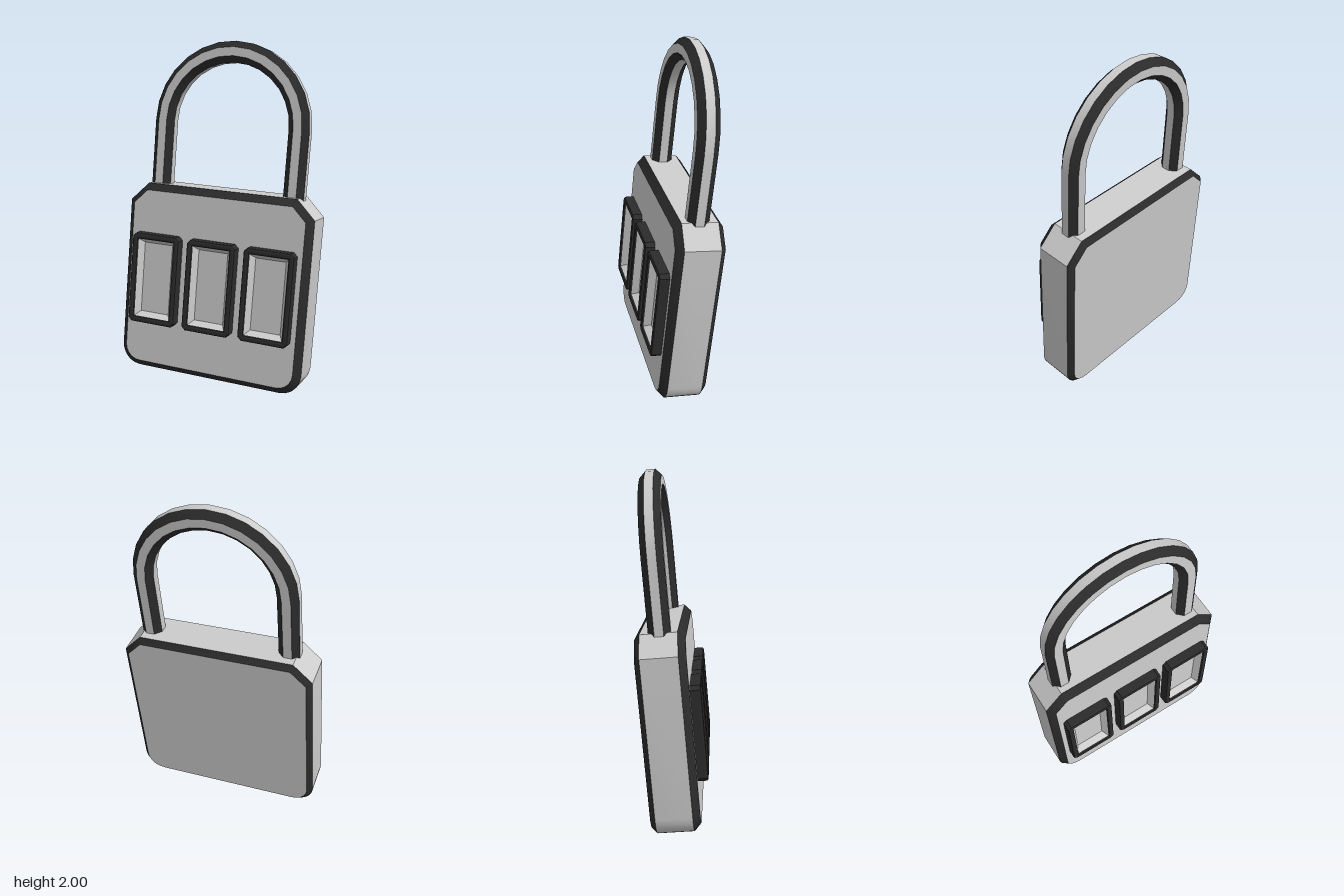
import * as THREE from 'three';
import { toCreasedNormals } from 'three/addons/utils/BufferGeometryUtils.js';

const metal = new THREE.MeshStandardMaterial({ color: 0xcccccc });
metal.name = 'light metal';
const trim = new THREE.MeshStandardMaterial({ color: 0x2b2b2b });
trim.name = 'dark trim';

// Surface from a list of four-cornered faces
function quads(list) {
  const p = [];
  for (const [a, b, c, d] of list) for (const v of [a, b, c, a, c, d]) p.push(v.x, v.y, v.z);
  const g = new THREE.BufferGeometry();
  g.setAttribute('position', new THREE.Float32BufferAttribute(p, 3));
  return toCreasedNormals(g, 0.6);
}

// Band of faces joining two closed loops
function band(a, b) {
  return quads(a.map((p, i) => {
    const j = (i + 1) % a.length;
    return [p, a[j], b[j], b[i]];
  }));
}

function add(parent, name, geometry, material) {
  const m = new THREE.Mesh(geometry, material);
  m.name = name;
  parent.add(m);
  return m;
}

// Body outline: rounded lower corners, chamfered upper corners
const W = 0.57, H = 0.5625, D = 0.1375;
function outline(inset, z) {
  const pts = [];
  const corners = [[1, -1, -90, 0.12, 5], [1, 1, 0, 0.11, 1], [-1, 1, 90, 0.11, 1], [-1, -1, 180, 0.12, 5]];
  for (const [sx, sy, start, radius, n] of corners) {
    const r = radius - inset * 0.7;
    for (let i = 0; i <= n; i++) {
      const a = THREE.MathUtils.degToRad(start + 90 * i / n);
      pts.push(new THREE.Vector3(
        sx * (W - inset - r) + r * Math.cos(a), sy * (H - inset - r) + r * Math.sin(a), z));
    }
  }
  return pts;
}

function makeBody() {
  const body = new THREE.Group();
  body.name = 'body';
  const backIn = outline(0.03, -D), back = outline(0, -D + 0.03);
  const front = outline(0, D - 0.04), frontIn = outline(0.04, D);
  add(body, 'sides', band(back, front), metal);
  add(body, 'frontBevel', band(front, frontIn), trim);
  add(body, 'backBevel', band(backIn, back), trim);
  const face = new THREE.ShapeGeometry(new THREE.Shape(frontIn));
  add(body, 'frontFace', face, metal).position.z = D;
  const rear = new THREE.ShapeGeometry(new THREE.Shape(backIn));
  rear.rotateY(Math.PI);
  add(body, 'backFace', rear, metal).position.z = -D;
  return body;
}

// Eight-sided shackle with light flats and dark bevels
function makeShackle() {
  const shackle = new THREE.Group();
  shackle.name = 'shackle';
  const R = 0.415, r = 0.066, cy = 0.942, steps = 14;
  const path = [[-R, 0.5, Math.PI]];
  for (let i = 0; i <= steps; i++) {
    const a = Math.PI * (1 - i / steps);
    path.push([R * Math.cos(a), cy + R * Math.sin(a), a]);
  }
  path.push([R, 0.5, 0]);
  const rings = path.map(([x, y, a]) => Array.from({ length: 8 }, (_, k) => {
    const t = (k - 0.5) * Math.PI / 4, e = r * Math.cos(t);
    return new THREE.Vector3(x + e * Math.cos(a), y + e * Math.sin(a), r * Math.sin(t));
  }));
  for (let k = 0; k < 8; k++) {
    const n = (k + 1) % 8, faces = [];
    for (let i = 0; i + 1 < rings.length; i++) {
      faces.push([rings[i][k], rings[i][n], rings[i + 1][n], rings[i + 1][k]]);
    }
    add(shackle, k % 2 ? 'shackleBevel' : 'shackleFlat', quads(faces), k % 2 ? trim : metal);
  }
  return shackle;
}

function rectangle(w, h, z) {
  return [[w, -h], [w, h], [-w, h], [-w, -h]].map(([x, y]) => new THREE.Vector3(x, y, z));
}

// Raised dark frame around a sloping recess
function makeWindow() {
  const win = new THREE.Group();
  win.name = 'dialWindow';
  const w = 0.138, h = 0.258, c = 0.015;
  const shape = new THREE.Shape([
    [w - c, -h], [w, -h + c], [w, h - c], [w - c, h],
    [-w + c, h], [-w, h - c], [-w, -h + c], [-w + c, -h]].map(p => new THREE.Vector2(...p)));
  shape.holes.push(new THREE.Path(rectangle(0.126, 0.246, 0).reverse().map(p => new THREE.Vector2(p.x, p.y))));
  const frame = new THREE.ExtrudeGeometry(shape, {
    depth: 0.05, bevelThickness: 0.012, bevelSize: 0.012, bevelSegments: 2 });
  add(win, 'windowFrame', frame, trim);
  add(win, 'recessWalls', band(rectangle(0.116, 0.236, 0.052), rectangle(0.09, 0.21, 0.008)), metal);
  add(win, 'windowPanel', new THREE.PlaneGeometry(0.18, 0.42), metal).position.z = 0.008;
  return win;
}

export function createModel() {
  const model = new THREE.Group();
  model.name = 'padlock';
  const lock = new THREE.Group();
  lock.name = 'tiltedLock';
  lock.add(makeBody(), makeShackle());
  for (const i of [-1, 0, 1]) {
    const win = makeWindow();
    win.position.set(i * 0.35, 0, D - 0.002);
    lock.add(win);
  }
  // The whole lock turns to one side and leans back
  lock.rotation.set(-0.1, THREE.MathUtils.degToRad(24), 0);
  lock.position.set(0, 0.59, 0.003);
  model.add(lock);
  return model;
}
